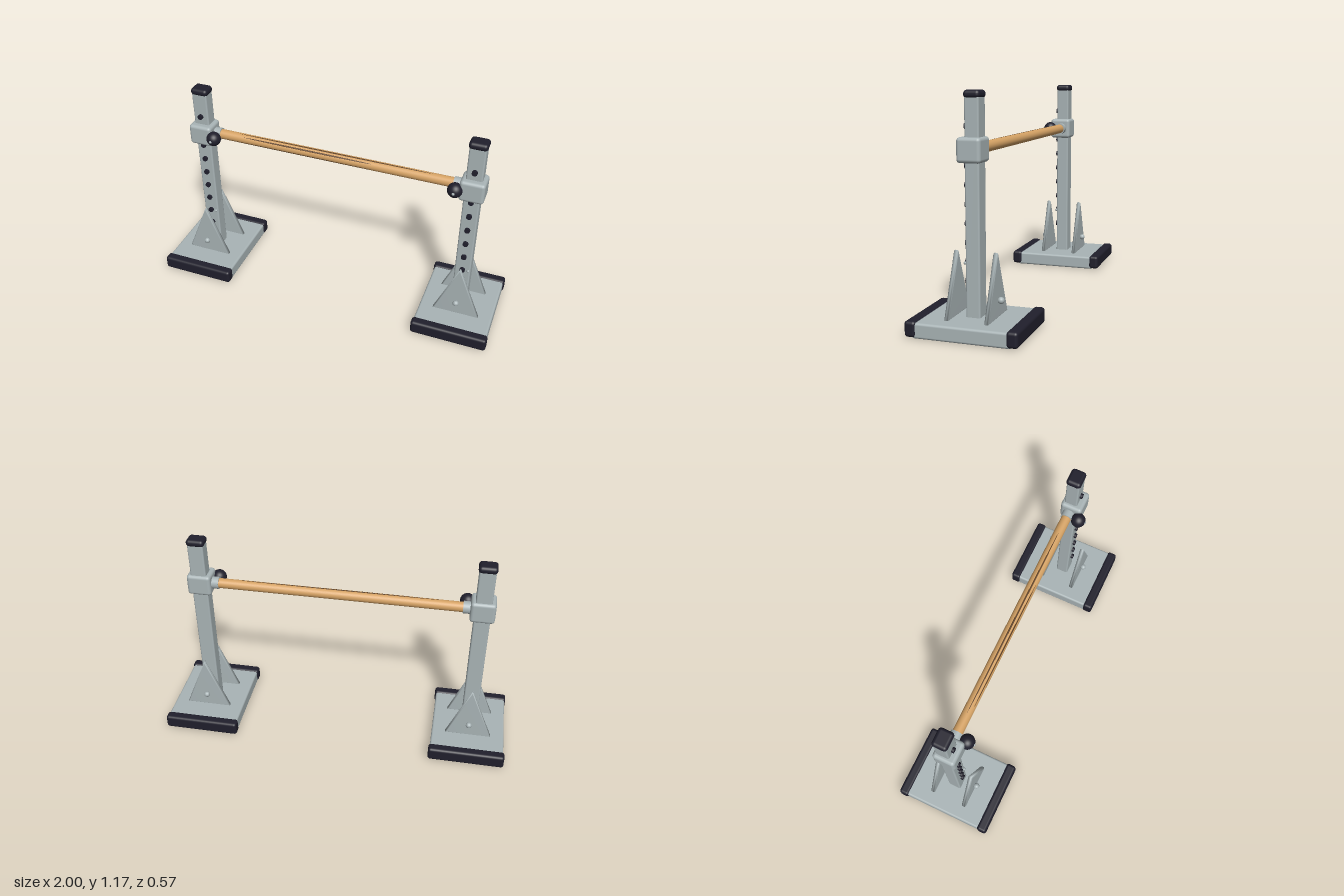
import * as THREE from 'three';
import { mergeVertices } from 'three/addons/utils/BufferGeometryUtils.js';
import { RoundedBoxGeometry } from 'three/addons/geometries/RoundedBoxGeometry.js';

const material = (name, color) => {
  const m = new THREE.MeshStandardMaterial({ color });
  m.name = name;
  return m;
};

export function createModel() {
  const metal = material('grey metal', 0xa9b4b6);
  const rubber = material('black rubber', 0x201f2c);
  const wood = material('wood', 0xd6a365);
  const grain = material('dark wood grain', 0x5f4022);
  const model = new THREE.Group();
  model.name = 'adjustableBarStand';
  const barY = 0.887;

  const add = (parent, name, geometry, mat, x, y, z) => {
    const mesh = new THREE.Mesh(geometry, mat);
    mesh.name = name;
    mesh.position.set(x, y, z);
    parent.add(mesh);
    return mesh;
  };
  const rounded = (w, h, d, r) => new RoundedBoxGeometry(w, h, d, 3, r);

  // Triangular gusset plate with softly blended edges
  const triangle = new THREE.Shape([
    new THREE.Vector2(-0.122, 0.006),
    new THREE.Vector2(0.122, 0.006),
    new THREE.Vector2(0, 0.307),
  ]);
  let gusset = new THREE.ExtrudeGeometry(triangle, {
    depth: 0.01, bevelEnabled: true, bevelThickness: 0.008, bevelSize: 0.008, bevelSegments: 3,
  });
  gusset.translate(0, 0, -0.005);
  gusset.deleteAttribute('normal');
  gusset.deleteAttribute('uv');
  gusset = mergeVertices(gusset, 1e-4);
  gusset.computeVertexNormals();

  const holeDisc = new THREE.CylinderGeometry(0.015, 0.015, 0.016, 20).rotateX(Math.PI / 2);
  const sleeve = new THREE.CylinderGeometry(0.034, 0.034, 0.06, 32).rotateZ(Math.PI / 2);

  // One upright with its foot, gussets, collar and knob; side is +1 (left) or -1 (right)
  const buildStand = (side) => {
    const stand = new THREE.Group();
    stand.name = side > 0 ? 'leftStand' : 'rightStand';
    stand.position.x = side * 0.784;
    model.add(stand);

    add(stand, 'basePlate', rounded(0.418, 0.077, 0.5, 0.012), metal, 0, 0.0385, 0);
    add(stand, 'post', rounded(0.089, 1.08, 0.074, 0.009), metal, 0, 0.6, 0);
    add(stand, 'postCap', rounded(0.1, 0.04, 0.084, 0.018), rubber, 0, 1.147, 0);

    for (const z of [1, -1]) {
      add(stand, 'rubberFoot', rounded(0.432, 0.079, 0.058, 0.016), rubber, 0, 0.045, z * 0.256);
      add(stand, 'gusset', gusset, metal, 0, 0.077, z * 0.102);
      add(stand, 'gussetBolt', new THREE.SphereGeometry(0.017, 20, 14), metal, 0, 0.163, z * 0.128);
    }

    // Height adjustment holes up the front of the post
    for (let i = 0; i < 9; i++) {
      add(stand, 'adjustmentHole', holeDisc, rubber, 0, 0.249 + i * 0.0935, 0.043);
    }
    add(stand, 'lockingPin', new THREE.SphereGeometry(0.008, 12, 8), metal, 0.033, 0.342, 0.042);

    // Sliding collar, tightening knob and bar sleeve
    add(stand, 'collar', rounded(0.135, 0.122, 0.124, 0.018), metal, 0, barY - 0.001, 0.011);
    add(stand, 'knob', new THREE.SphereGeometry(0.041, 28, 20), rubber, -side * 0.086, barY, 0.07);
    add(stand, 'knobScrew', new THREE.SphereGeometry(0.009, 14, 10), metal, -side * 0.086, barY, 0.107);
    add(stand, 'barSleeve', sleeve, metal, -side * 0.076, barY, 0.004);
  };
  buildStand(1);
  buildStand(-1);

  // Wooden bar with fine dark streaks let into its front half
  const bar = new THREE.Group();
  bar.name = 'bar';
  bar.position.set(0, barY, 0.004);
  model.add(bar);
  add(bar, 'woodenBar', new THREE.CylinderGeometry(0.028, 0.028, 1.4, 40).rotateZ(Math.PI / 2), wood, 0, 0, 0);
  const streaks = [ // angle above the front, centre x, length
    [-0.6, -0.2, 0.92],
    [0.75, -0.15, 0.8],
    [1.45, 0, 1.2],
  ];
  for (const [angle, x, length] of streaks) {
    const geometry = new THREE.SphereGeometry(0.5, 32, 10).scale(length, 0.009, 0.003);
    const streak = add(bar, 'grainStreak', geometry, grain, x, Math.sin(angle) * 0.0275, Math.cos(angle) * 0.0275);
    streak.rotation.x = -angle;
  }
  return model;
}
